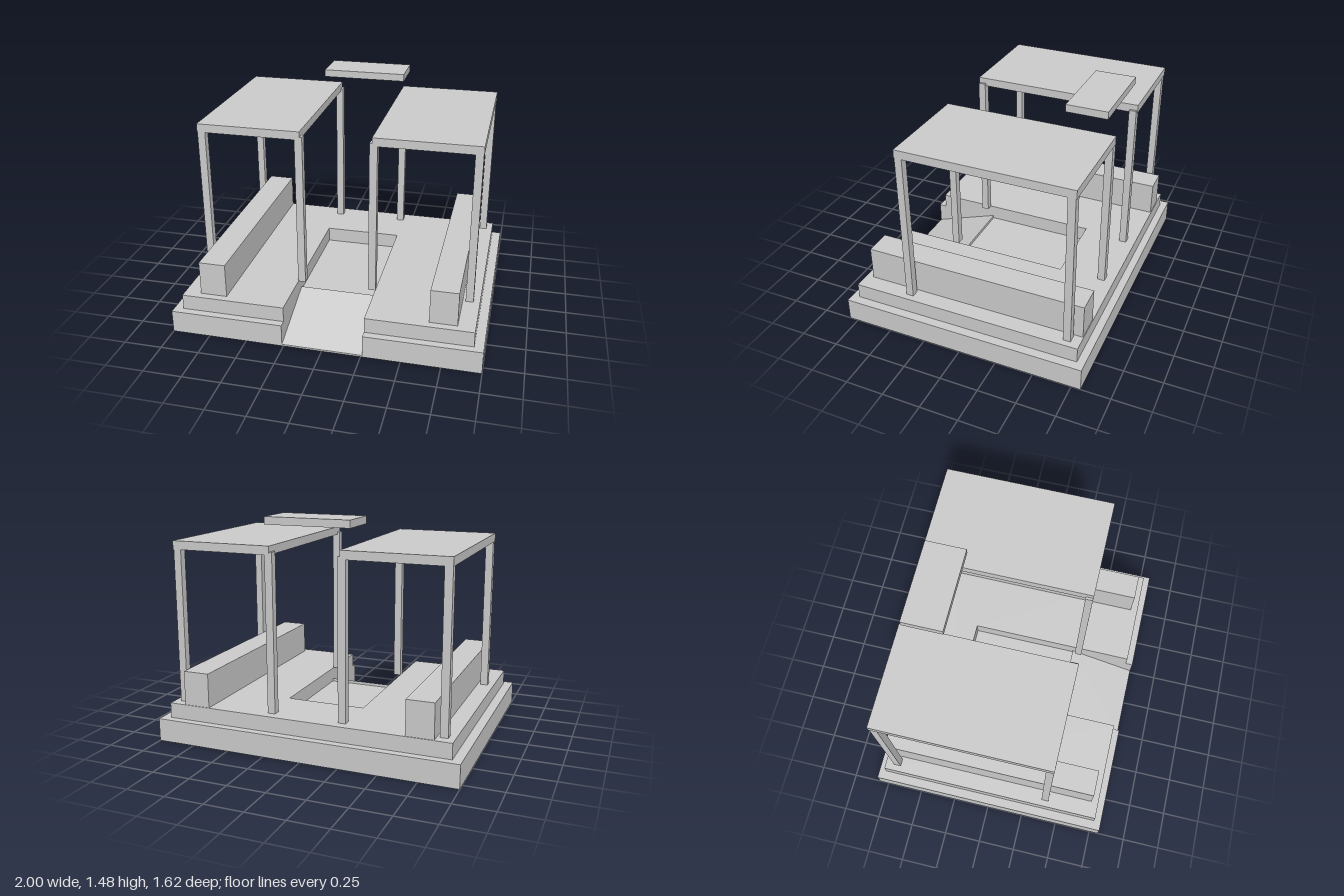
import * as THREE from 'three';

export function createModel() {
  const model = new THREE.Group();
  const material = new THREE.MeshStandardMaterial({ color: 0xcccccc, flatShading: true });

  function add(name, geometry) {
    const mesh = new THREE.Mesh(geometry, material);
    mesh.name = name;
    model.add(mesh);
    return mesh;
  }

  // Box given by its limits on each axis
  function box(name, x0, x1, y0, y1, z0, z1) {
    const g = new THREE.BoxGeometry(x1 - x0, y1 - y0, z1 - z0);
    return add(name, g.translate((x0 + x1) / 2, (y0 + y1) / 2, (z0 + z1) / 2));
  }

  // Slab with a notch cut in from the front edge back to z = notchZ
  function notchedSlab(name, halfX, halfZ, y0, y1, notchX, notchZ) {
    const outline = [
      [-halfX, -halfZ], [-notchX, -halfZ], [-notchX, -notchZ], [notchX, -notchZ],
      [notchX, -halfZ], [halfX, -halfZ], [halfX, halfZ], [-halfX, halfZ],
    ].map(([x, y]) => new THREE.Vector2(x, y));
    const g = new THREE.ExtrudeGeometry(new THREE.Shape(outline), { depth: y1 - y0, bevelEnabled: false });
    return add(name, g.rotateX(-Math.PI / 2).translate(0, y0, 0));
  }

  // Two-tier platform with a sunken central floor
  notchedSlab('base', 1, 0.81, 0, 0.15, 0.26, 0.35);
  notchedSlab('upperStep', 0.94, 0.76, 0.15, 0.25, 0.26, -0.39);

  // Entrance ramp: side profile extruded across the notch
  const profile = new THREE.Shape([[-0.81, 0], [-0.35, 0], [-0.35, 0.17], [-0.81, 0.012]]
    .map(([x, y]) => new THREE.Vector2(x, y)));
  const ramp = new THREE.ExtrudeGeometry(profile, { depth: 0.52, bevelEnabled: false });
  add('ramp', ramp.translate(0, 0, -0.26).rotateY(Math.PI / 2));

  // Mirrored bench, roof and posts on each side
  for (const [side, s] of [['left', 1], ['right', -1]]) {
    const sided = (name, xa, xb, ...rest) =>
      box(side + name, Math.min(s * xa, s * xb), Math.max(s * xa, s * xb), ...rest);

    sided('Bench', 0.655, 0.83, 0.25, 0.475, -0.755, 0.71);
    sided('Roof', 0.228, 0.9, 1.25, 1.305, -0.705, 0.42);
    for (const [end, z] of [['Front', 0.37], ['Back', -0.7]]) {
      sided(end + 'OuterPost', 0.848, 0.898, 0.25, 1.25, z, z + 0.048);
      sided(end + 'InnerPost', 0.212, 0.262, 0.25, 1.268, z, z + 0.048);
    }
  }

  // Raised panel hovering between the roofs at the back
  box('floatingPanel', -0.277, 0.277, 1.427, 1.475, -0.663, -0.397);

  return model;
}
